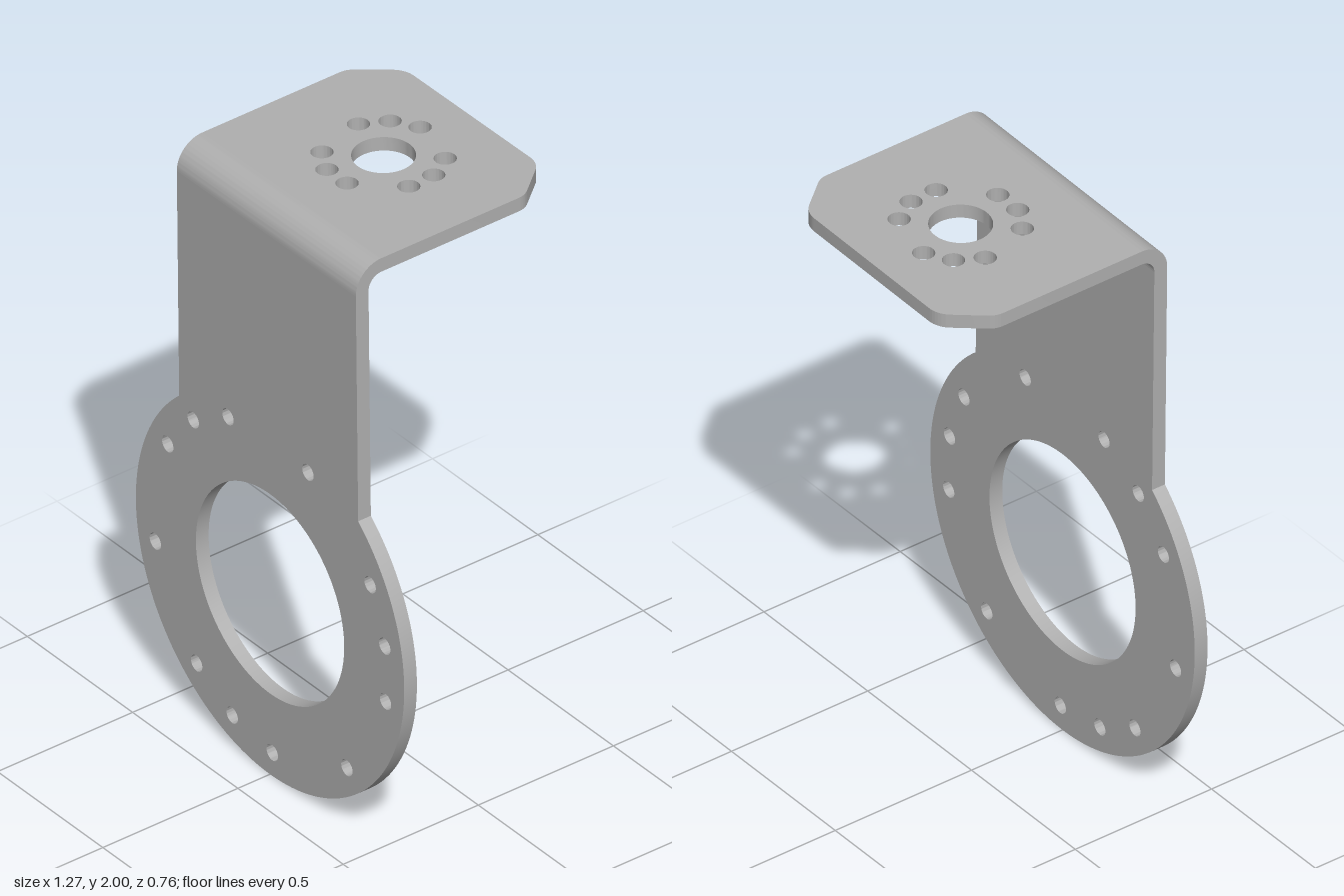
import * as THREE from 'three';
import { toCreasedNormals } from 'three/addons/utils/BufferGeometryUtils.js';

const T = 0.047;          // sheet thickness
const W = 0.425;          // half width of neck and flange
const FRONT = 0.381;      // front face z
const TOP = 1.357;        // flange top, measured from the ring centre
const R_OUT = 0.095;      // outer bend radius
const RING = 0.637;       // ring outer radius
const TILT = THREE.MathUtils.degToRad(0.8);

function addHole(shape, x, y, r) {
  const hole = new THREE.Path();
  hole.absarc(x, y, r, 0, Math.PI * 2, true);
  shape.holes.push(hole);
}

// Circle of holes: the given angles repeated three times around
function addHolePattern(shape, cx, cy, radius, r, degrees) {
  for (let k = 0; k < 3; k++) {
    for (const d of degrees) {
      const a = THREE.MathUtils.degToRad(d + k * 120);
      addHole(shape, cx + radius * Math.cos(a), cy + radius * Math.sin(a), r);
    }
  }
}

function extrude(shape, depth, curveSegments) {
  return new THREE.ExtrudeGeometry(shape, { depth, bevelEnabled: false, curveSegments });
}

export function createModel() {
  const metal = new THREE.MeshStandardMaterial({ color: 0xb0b0b0 });
  metal.name = 'grey metal';
  const bracket = new THREE.Group();
  bracket.name = 'bracket';

  function add(name, geometry) {
    const mesh = new THREE.Mesh(toCreasedNormals(geometry, 0.5), metal);
    mesh.name = name;
    bracket.add(mesh);
  }

  const bendY = TOP - R_OUT;
  const bendZ = FRONT - R_OUT;

  // Upright plate: ring with a straight neck
  const plate = new THREE.Shape();
  const a = Math.acos(W / RING);
  plate.moveTo(W, bendY);
  plate.lineTo(-W, bendY);
  plate.lineTo(-W, RING * Math.sin(a));
  plate.absarc(0, 0, RING, Math.PI - a, Math.PI * 2 + a, false);
  plate.closePath();
  addHole(plate, 0, 0, 0.352);
  addHolePattern(plate, 0, 0, 0.555, 0.027, [-49.7, -9.7, 10.3, 30.3]);
  add('ringPlate', extrude(plate, T, 64).translate(0, 0, FRONT - T));

  // Quarter-round bend, profile swept across the width
  const bend = new THREE.Shape();
  bend.absarc(bendZ, bendY, R_OUT, 0, Math.PI / 2, false);
  bend.absarc(bendZ, bendY, R_OUT - T, Math.PI / 2, 0, true);
  bend.closePath();
  add('bend', extrude(bend, W * 2, 16).rotateY(-Math.PI / 2).translate(W, 0, 0));

  // Horizontal flange with rounded, cut-off rear corners (shape y is -z)
  const flange = new THREE.Shape();
  flange.moveTo(-W, -bendZ);
  flange.lineTo(W, -bendZ);
  flange.lineTo(W, 0.222);
  flange.quadraticCurveTo(W, 0.245, 0.41, 0.265);
  flange.lineTo(0.338, 0.353);
  flange.quadraticCurveTo(0.312, 0.381, 0.275, 0.381);
  flange.lineTo(-0.275, 0.381);
  flange.quadraticCurveTo(-0.312, 0.381, -0.338, 0.353);
  flange.lineTo(-0.41, 0.265);
  flange.quadraticCurveTo(-W, 0.245, -W, 0.222);
  flange.closePath();
  addHole(flange, 0, 0.054, 0.095);
  addHolePattern(flange, 0, 0.054, 0.181, 0.034, [-14, 16, 46]);
  add('flange', extrude(flange, T, 32).rotateX(-Math.PI / 2).translate(0, TOP - T, 0));

  // The bracket leans very slightly about the ring centre
  bracket.rotation.z = TILT;
  bracket.position.y = RING;

  const model = new THREE.Group();
  model.name = 'mountingBracket';
  model.add(bracket);
  return model;
}
